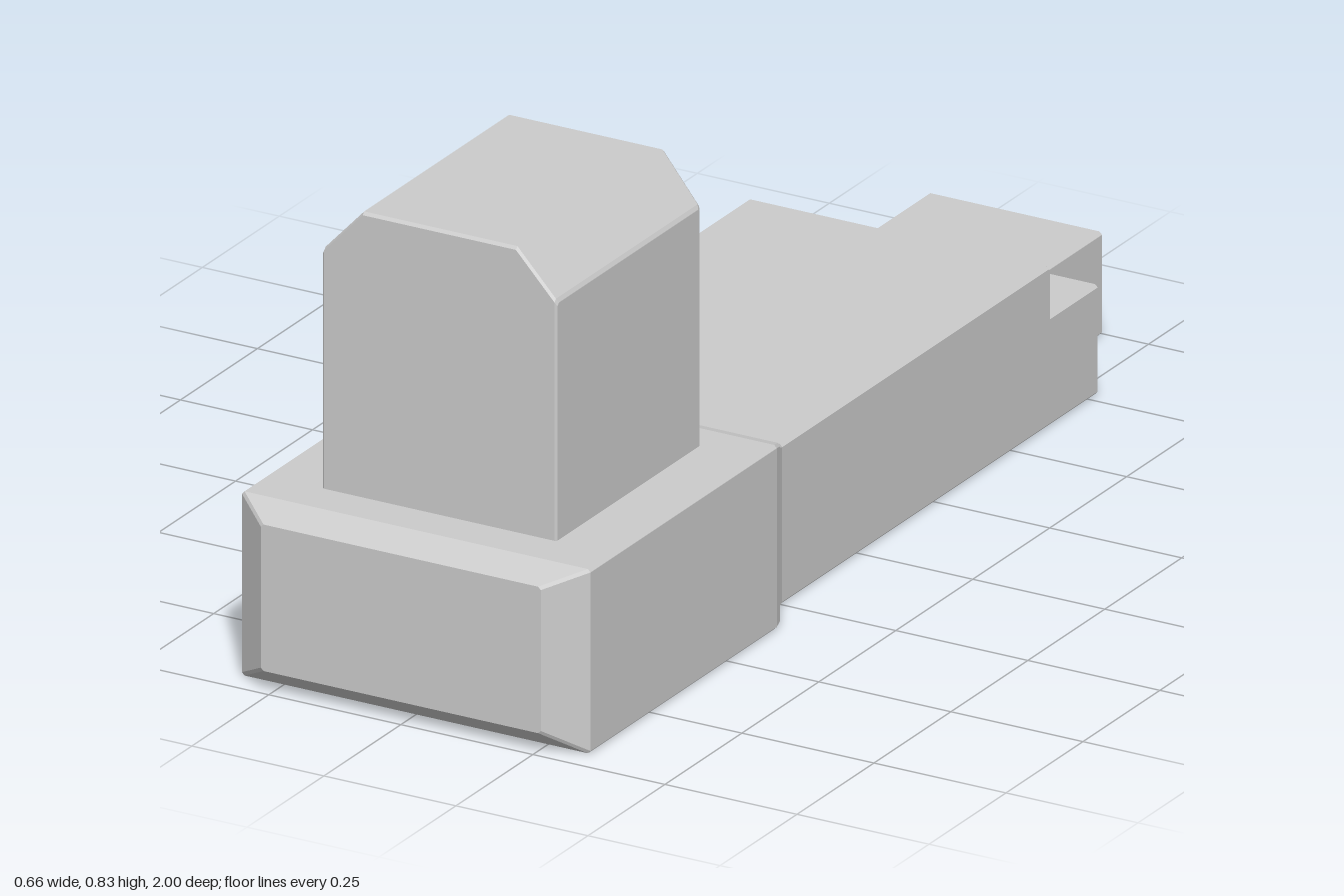
import * as THREE from 'three';

const BEVEL = 0.005;

// Skins rectangular sections [t, uMin, uMax, vMin, vMax] with slightly bevelled corners.
// place(u, v, t) maps to x, y, z; sections run in rising t.
function loft(name, sections, place, material) {
  const c = BEVEL;
  const positions = [];
  const index = [];
  for (const [t, u0, u1, v0, v1] of sections) {
    const ring = [
      [u0 + c, v0], [u1 - c, v0], [u1, v0 + c], [u1, v1 - c],
      [u1 - c, v1], [u0 + c, v1], [u0, v1 - c], [u0, v0 + c],
    ];
    for (const [u, v] of ring) positions.push(...place(u, v, t));
  }
  const n = 8;
  for (let i = 0; i < sections.length - 1; i++) {
    for (let j = 0; j < n; j++) {
      const a = i * n + j;
      const b = i * n + (j + 1) % n;
      index.push(a, b, b + n, a, b + n, a + n);
    }
  }
  // End caps
  const last = (sections.length - 1) * n;
  for (let j = 1; j < n - 1; j++) {
    index.push(0, j + 1, j, last, last + j, last + j + 1);
  }
  const indexed = new THREE.BufferGeometry();
  indexed.setAttribute('position', new THREE.Float32BufferAttribute(positions, 3));
  indexed.setIndex(index);
  const geometry = indexed.toNonIndexed();
  geometry.computeVertexNormals();
  const mesh = new THREE.Mesh(geometry, material);
  mesh.name = name;
  return mesh;
}

export function createModel() {
  const group = new THREE.Group();
  group.name = 'steppedKey';
  const material = new THREE.MeshStandardMaterial({ color: 0xcccccc, flatShading: true });

  // Body from rear to front: z, half width, bottom, top
  const body = [
    [-1.0, 0.16, 0.005, 0.178], // tongue
    [-0.995, 0.165, 0, 0.183],
    [-0.78, 0.165, 0, 0.183],
    [-0.78, 0.28, 0.005, 0.19], // low shelf
    [-0.775, 0.285, 0, 0.195],
    [-0.62, 0.285, 0, 0.195],
    [-0.62, 0.285, 0, 0.28], // shank
    [-0.615, 0.285, 0, 0.285],
    [0.25, 0.285, 0, 0.285],
    [0.27, 0.291, 0, 0.292], // flare into the head
    [0.32, 0.322, 0, 0.32],
    [0.345, 0.33, 0, 0.327],
    [0.95, 0.33, 0, 0.327],
    [1.0, 0.265, 0.04, 0.3], // chamfered nose
  ].map(([z, w, y0, y1]) => [z, -w, w, y0, y1]);
  group.add(loft('body', body, (u, v, t) => [u, v, t], material));

  // Upright block, sections across x: half width, top, rear z, front z
  const half = [
    [0.145, 0.833, 0.394, 0.875],
    [0.218, 0.755, 0.405, 0.875],
    [0.222, 0.748, 0.41, 0.872],
  ];
  const block = [
    ...half.slice().reverse().map(([x, y, z0, z1]) => [-x, 0.32, y, z0, z1]),
    ...half.map(([x, y, z0, z1]) => [x, 0.32, y, z0, z1]),
  ];
  group.add(loft('uprightBlock', block, (u, v, t) => [t, u, v], material));

  return group;
}
